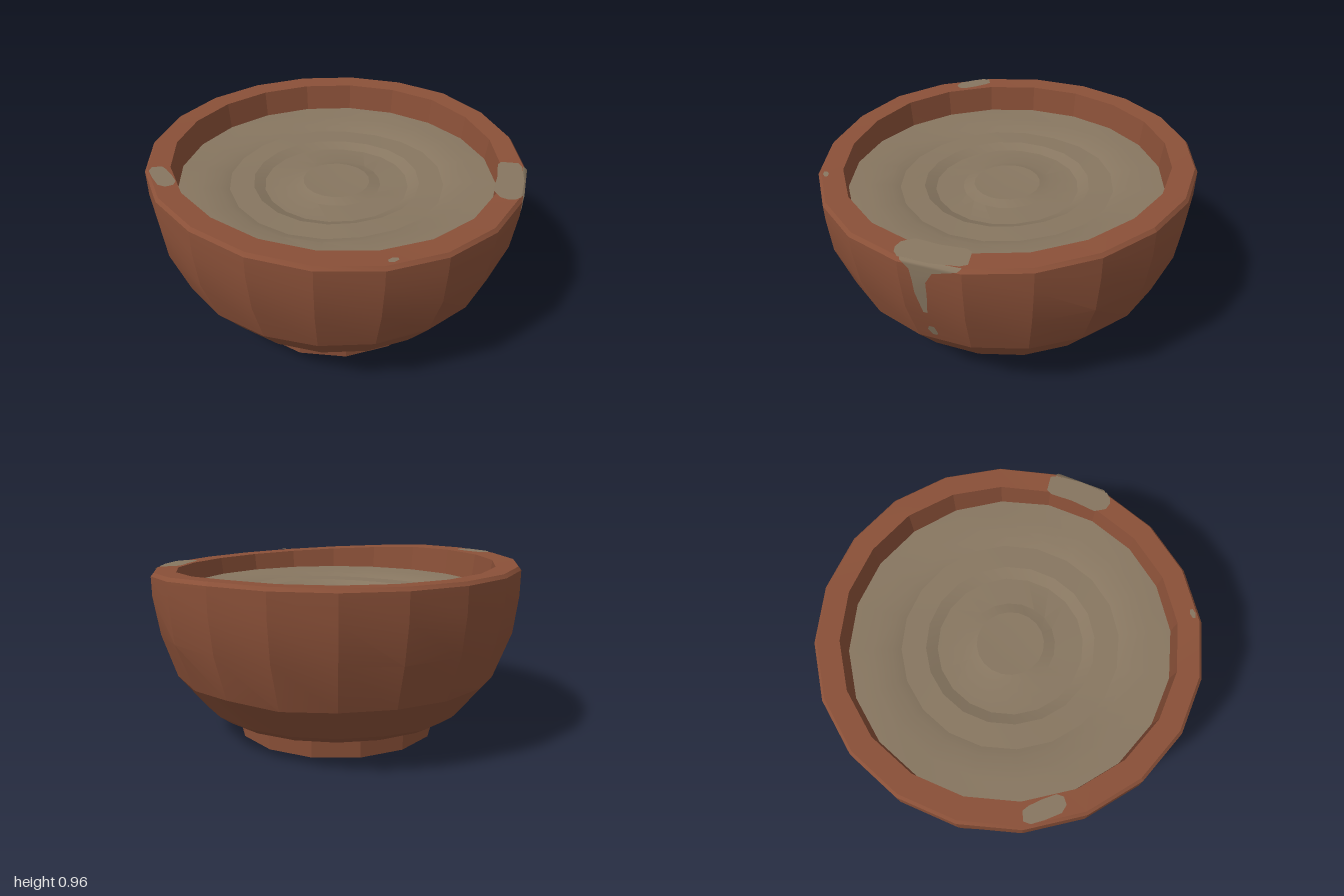
import * as THREE from 'three';
import { toCreasedNormals } from 'three/addons/utils/BufferGeometryUtils.js';

const SIDES = 20;
const clay = new THREE.MeshStandardMaterial({ color: 0x8a5038 });
clay.name = 'clay';
const paste = new THREE.MeshStandardMaterial({ color: 0x877660, side: THREE.DoubleSide });
paste.name = 'paste';

// Wall profile, from the underside over the rim and down the inside
const OUTER = [[0.68, 0.14], [0.74, 0.18], [0.885, 0.36], [0.97, 0.6], [0.998, 0.8], [1, 0.935]];
const BOWL = [[0.48, 0.14], ...OUTER, [0.985, 0.953], [0.87, 0.947], [0.848, 0.76]];

// The rim sags towards the model's left
const sag = (x, z) => 0.06 * Math.max(0, 0.9 * x + 0.35 * z);

function lathe(name, profile, material, sides, phi = 0, move = null) {
  const points = profile.map(([r, y]) => new THREE.Vector2(r, y));
  const geo = new THREE.LatheGeometry(points, sides, phi);
  const p = geo.attributes.position;
  const v = new THREE.Vector3();
  if (move) {
    for (let i = 0; i < p.count; i++) {
      move(v.fromBufferAttribute(p, i));
      p.setXYZ(i, v.x, v.y, v.z);
    }
  }
  const mesh = new THREE.Mesh(toCreasedNormals(geo, 0.25), material);
  mesh.name = name;
  return mesh;
}

// Thin skin from a list of rows, each row a pair of points
function strip(name, rows) {
  const geo = new THREE.BufferGeometry();
  geo.setAttribute('position', new THREE.Float32BufferAttribute(rows.flat(2), 3));
  const index = [];
  for (let i = 0; i < rows.length - 1; i++) {
    const a = i * 2;
    index.push(a, a + 1, a + 2, a + 1, a + 3, a + 2);
  }
  geo.setIndex(index);
  geo.computeVertexNormals();
  const mesh = new THREE.Mesh(geo, paste);
  mesh.name = name;
  return mesh;
}

// Point just outside the wall on the left side, at height y and depth z
function onWall(y, z) {
  let i = 0;
  while (i < OUTER.length - 2 && y > OUTER[i + 1][1]) i++;
  const [r0, y0] = OUTER[i];
  const [r1, y1] = OUTER[i + 1];
  const r = r0 + (r1 - r0) * (y - y0) / (y1 - y0);
  return [r - 0.158 * Math.abs(z) + 0.006, y, z];
}

// Smear on the rim: rows of [angle in degrees from +x towards +z, inner, outer radius]
function rimSmear(name, rows) {
  return strip(name, rows.map(([deg, ...radii]) => radii.map((r) => {
    const a = deg * Math.PI / 180;
    const x = r * Math.cos(a);
    const z = r * Math.sin(a);
    return [x, 0.958 - sag(x, z), z];
  })));
}

export function createModel() {
  const group = new THREE.Group();
  group.name = 'clayBowl';

  // Hand-shaped wall with shallow dents
  group.add(lathe('bowlWall', BOWL, clay, SIDES, 0, (v) => {
    if (v.y > 0.9) v.y -= sag(v.x, v.z);
    else if (v.y > 0.17 && v.y < 0.75 && v.x < 0.8) {
      const dent = 0.012 * Math.sin(9 * v.x + 6 * v.y) * Math.sin(7 * v.z + 11 * v.y);
      v.x *= 1 + dent;
      v.z *= 1 + dent;
      v.y += dent;
    }
    v.z *= 0.99;
  }));

  // Hollow foot ring and the floor inside it
  const footAngle = Math.PI / 6;
  const foot = lathe('footRing', [[0.455, 0.145], [0.465, 0], [0.56, 0], [0.568, 0.145]],
    clay, 14, footAngle);
  const floor = lathe('footFloor', [[0, 0.137], [0.5, 0.137]], paste, 14, footAngle);
  foot.position.z = floor.position.z = 0.02;
  group.add(foot, floor);

  // Stirred contents with uneven, sunken rings
  const swirl = [[0.856, 0.8], [0.74, 0.797], [0.63, 0.79], [0.58, 0.775], [0.45, 0.775],
    [0.39, 0.75], [0.24, 0.748], [0.18, 0.762], [0, 0.757]];
  group.add(lathe('contents', swirl, paste, SIDES, 0, (v) => {
    const r = Math.hypot(v.x, v.z);
    if (r > 0.1 && r < 0.8) v.y += 0.008 * Math.sin(5 * v.x + 2) * Math.cos(6 * v.z);
    v.z *= 0.99;
  }));

  // Smears left on the rim
  group.add(rimSmear('largeRimSmear', [[-19, 0.87, 0.96], [-17, 0.85, 0.975], [-9, 0.85, 0.985],
    [0, 0.85, 0.992], [2, 0.88, 0.97], [3, 0.9, 0.94]]));
  group.add(rimSmear('mediumRimSmear', [[131, 0.88, 0.92], [133, 0.86, 0.95], [138, 0.87, 0.965],
    [142, 0.89, 0.975], [144, 0.91, 0.96]]));
  group.add(rimSmear('smallRimSmear', [[49.5, 0.94, 0.955], [51, 0.935, 0.965], [52.5, 0.945, 0.96]]));

  // Drip running down the outside, and a separate drop below it
  const wallRows = (rows) => rows.map(([y, a, b]) => [onWall(y, a), onWall(y, b)]);
  const drip = wallRows([[0.9, -0.02, -0.29], [0.885, -0.035, -0.25], [0.86, -0.06, -0.17],
    [0.8, -0.07, -0.135], [0.72, -0.07, -0.13], [0.6, -0.095, -0.115]]);
  // Lip joining the drip to the rim smear
  drip.unshift([[0.99, 0.906, -0.01], [0.935, 0.91, -0.3]]);
  group.add(strip('drip', drip));
  group.add(strip('drop', wallRows([[0.48, -0.09, -0.115], [0.45, -0.075, -0.12],
    [0.42, -0.085, -0.12], [0.41, -0.09, -0.11]])));

  return group;
}
